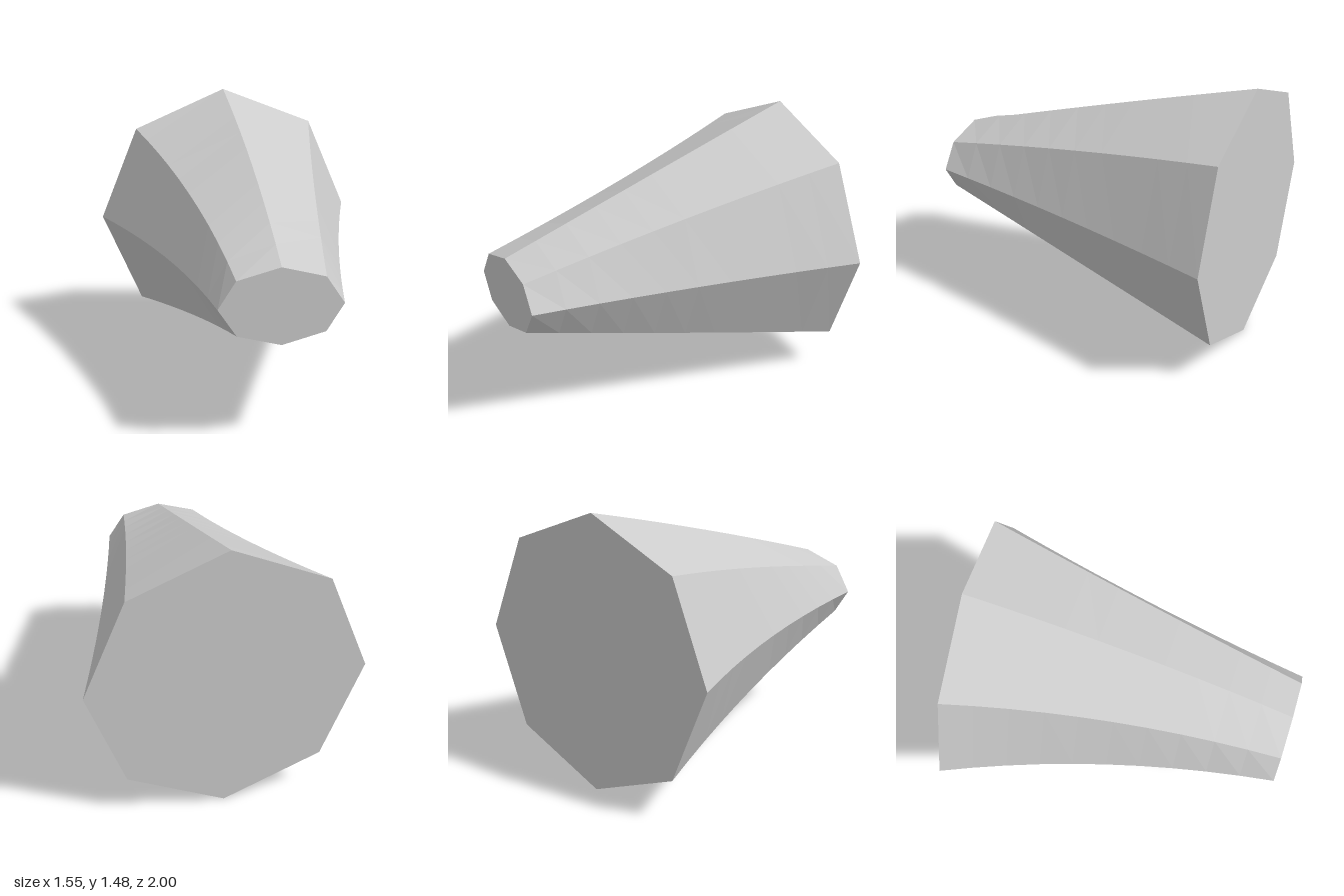
import * as THREE from 'three';

const SIDES = 8, STEPS = 10;
const { lerp } = THREE.MathUtils;

// Point on the octagonal horn: t runs from the wide back (0) to the narrow front (1)
function hornPoint(t, j) {
  const a = (j % SIDES) / SIDES * Math.PI * 2;
  const bow = 4 * t * (1 - t);
  const across = Math.cos(a), up = Math.sin(a);
  const halfX = lerp(0.71, 0.29, t) - 0.045 * bow;
  const halfZ = lerp(0.21, 0.105, t);
  const halfY = lerp(0.74, 0.197, t) + 0.014 * bow;
  return [
    lerp(0.065, -0.49, t) + 0.018 * bow + across * halfX,
    0.74 + up * halfY,
    lerp(-0.79, 0.89, t) + across * halfZ,
  ];
}

function toMesh(name, points, material) {
  const geometry = new THREE.BufferGeometry();
  geometry.setAttribute('position', new THREE.Float32BufferAttribute(points.flat(), 3));
  geometry.computeVertexNormals();
  const mesh = new THREE.Mesh(geometry, material);
  mesh.name = name;
  return mesh;
}

// Flat octagonal end
function cap(name, t, material) {
  const points = [];
  for (let j = 1; j < SIDES - 1; j++) {
    const [p, q] = t === 1 ? [j, j + 1] : [j + 1, j];
    points.push(hornPoint(t, 0), hornPoint(t, p), hornPoint(t, q));
  }
  return toMesh(name, points, material);
}

export function createModel() {
  const grey = new THREE.MeshStandardMaterial({ color: 0xcccccc, flatShading: true });
  grey.name = 'light grey';

  // Eight gently curved side strips
  const sides = [];
  for (let i = 0; i < STEPS; i++) {
    for (let j = 0; j < SIDES; j++) {
      const a = hornPoint(i / STEPS, j), b = hornPoint(i / STEPS, j + 1);
      const c = hornPoint((i + 1) / STEPS, j + 1), d = hornPoint((i + 1) / STEPS, j);
      sides.push(a, b, c, a, c, d);
    }
  }

  const model = new THREE.Group();
  model.name = 'taperedHorn';
  model.add(
    toMesh('hornSides', sides, grey),
    cap('narrowFrontEnd', 1, grey),
    cap('wideBackEnd', 0, grey),
  );
  return model;
}
